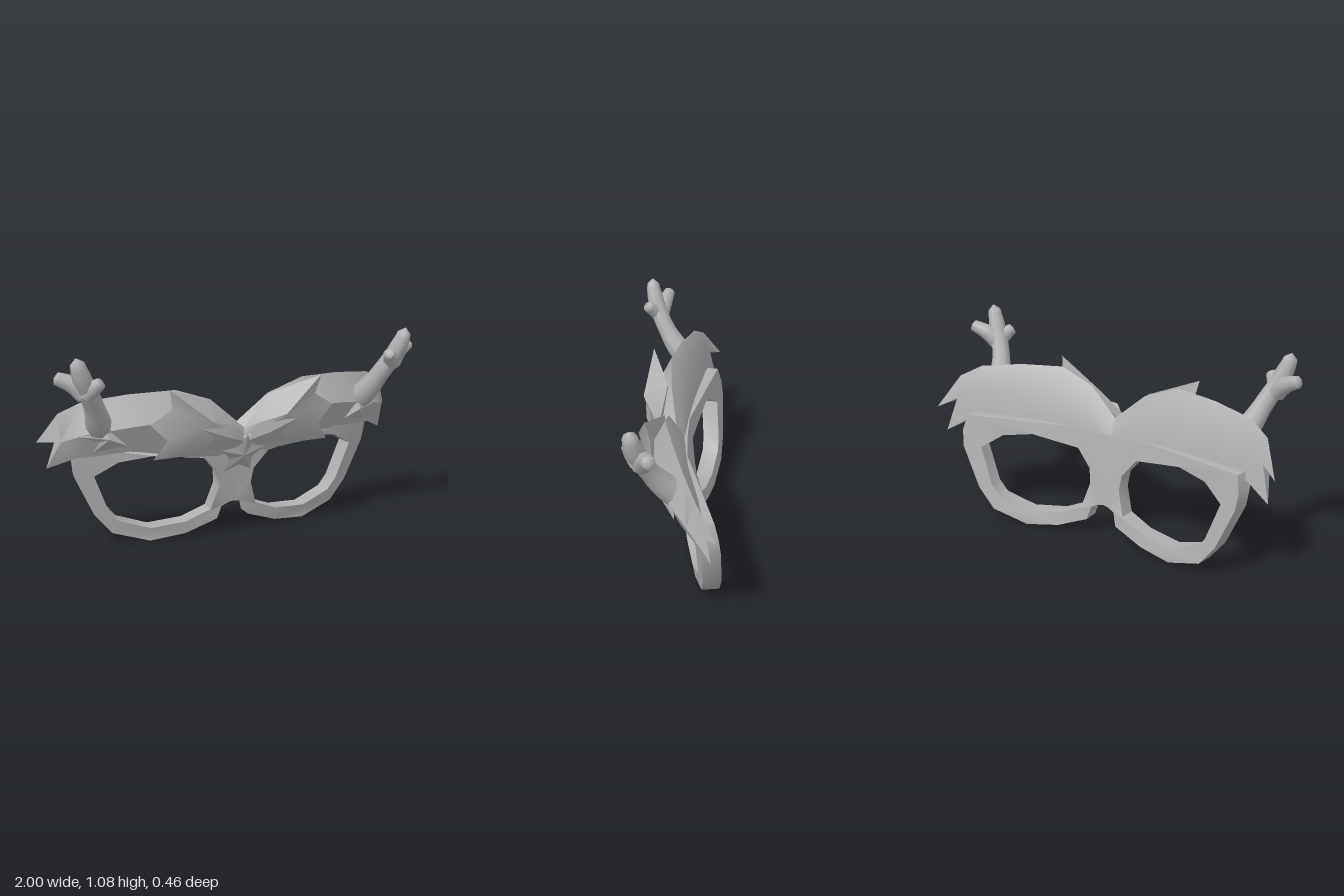
import * as THREE from 'three';
import { toCreasedNormals } from 'three/addons/utils/BufferGeometryUtils.js';

const grey = new THREE.MeshStandardMaterial({ color: 0xb0b0b0, side: THREE.DoubleSide });
grey.name = 'plain grey';

// Triangles (lists of three points) to a geometry
function fromTriangles(tris) {
  const g = new THREE.BufferGeometry();
  g.setAttribute('position', new THREE.Float32BufferAttribute(tris.flat(2), 3));
  return g;
}

// Closed shell: a counter-clockwise outline fanned to a front and a back centre
function shell(outline, front, back) {
  const tris = [];
  outline.forEach((a, i) => {
    const b = outline[(i + 1) % outline.length];
    tris.push([a, b, front], [b, a, back]);
  });
  return fromTriangles(tris);
}

// Mirror in x, keeping faces turned outward
function mirrored(geo) {
  const g = geo.clone().scale(-1, 1, 1);
  const p = g.attributes.position;
  for (let i = 0; i < p.count; i += 3) {
    const b = new THREE.Vector3().fromBufferAttribute(p, i + 1);
    p.setXYZ(i + 1, p.getX(i + 2), p.getY(i + 2), p.getZ(i + 2));
    p.setXYZ(i + 2, b.x, b.y, b.z);
  }
  return g;
}

// One half of the spectacle frame, curved back toward the temple and leaning forward
function frameHalf() {
  const v = (list) => list.map(([x, y]) => new THREE.Vector2(x, y));
  const shape = new THREE.Shape(v([
    [0, 0.185], [0.03, 0.18], [0.07, 0.16], [0.09, 0.09], [0.26, 0.025], [0.445, 0], [0.64, 0.06],
    [0.73, 0.17], [0.83, 0.39], [0.84, 0.48], [0.82, 0.56], [0.45, 0.565], [0.2, 0.56], [0, 0.55]]));
  shape.holes.push(new THREE.Path(v([
    [0.735, 0.39], [0.62, 0.465], [0.45, 0.49], [0.18, 0.455], [0.1, 0.36], [0.09, 0.28],
    [0.13, 0.15], [0.26, 0.095], [0.445, 0.075], [0.61, 0.13], [0.66, 0.19]])));
  const g = new THREE.ExtrudeGeometry(shape, { depth: 0.088, bevelEnabled: false });
  const p = g.attributes.position;
  for (let i = 0; i < p.count; i++) {
    const x = p.getX(i), z = p.getZ(i);
    p.setZ(i, z - 0.136 - 0.225 * x * x + 0.18 * p.getY(i));
    p.setX(i, x * (z > 0.04 ? 1 : 0.98));
  }
  return g.index ? g.toNonIndexed() : g;
}

// Brow: rings of top, front, bottom, lower back and upper back, ending in two spikes
function brow() {
  const rings = [
    [[0, 0.63, 0.02], [0, 0.56, 0.13], [0, 0.48, 0.06], [0, 0.5, -0.03], [0, 0.56, -0.02]],
    [[0.16, 0.77, 0.05], [0.16, 0.65, 0.15], [0.16, 0.475, 0.06], [0.16, 0.52, -0.04], [0.16, 0.67, -0.02]],
    [[0.35, 0.84, 0.06], [0.35, 0.7, 0.13], [0.35, 0.5, 0.04], [0.35, 0.54, -0.06], [0.35, 0.74, -0.03]],
    [[0.58, 0.83, 0.01], [0.58, 0.68, 0.08], [0.58, 0.535, 0.01], [0.58, 0.55, -0.09], [0.58, 0.72, -0.06]],
    [[0.8, 0.8, -0.05], [0.8, 0.65, 0.02], [0.76, 0.52, -0.03], [0.76, 0.53, -0.12], [0.8, 0.69, -0.11]],
    [[0.91, 0.74, -0.1], [0.91, 0.605, -0.06], [0.83, 0.51, -0.07], [0.83, 0.52, -0.14], [0.91, 0.62, -0.14]]];
  const tris = [];
  for (let r = 0; r < rings.length - 1; r++) {
    for (let i = 0; i < 5; i++) {
      const j = (i + 1) % 5, [a, b] = [rings[r], rings[r + 1]];
      tris.push([a[i], a[j], b[j]], [a[i], b[j], b[i]]);
    }
  }
  const [top, front, bottom, low, up] = rings[5];
  const spike = (base, tip) => base.forEach((p, i) => tris.push([p, base[(i + 1) % base.length], tip]));
  spike([top, front, up], [1, 0.575, -0.2]);
  spike([front, bottom, low, up], [0.96, 0.44, -0.175]);
  return fromTriangles(tris);
}

// Tapered tine: a tube whose rings shrink by the given radii, closed at both ends
function tine(points, radii) {
  const curve = new THREE.CatmullRomCurve3(points.map((p) => new THREE.Vector3(...p)));
  const n = 18, sides = 8;
  const g = new THREE.TubeGeometry(curve, n, 1, sides);
  const p = g.attributes.position, v = new THREE.Vector3();
  for (let i = 0; i < p.count; i++) {
    const ring = Math.floor(i / (sides + 1)), t = ring / n;
    const k = t * (radii.length - 1), a = Math.min(Math.floor(k), radii.length - 2);
    const radius = ring === n || ring === 0 ? 0 : THREE.MathUtils.lerp(radii[a], radii[a + 1], k - a);
    const c = curve.getPointAt(t);
    v.fromBufferAttribute(p, i).sub(c).multiplyScalar(radius).add(c);
    p.setXYZ(i, v.x, v.y, v.z);
  }
  return g.toNonIndexed();
}

// Five-pointed ornament leaning forward at the top
function star() {
  const outline = [];
  for (let i = 0; i < 10; i++) {
    const a = Math.PI / 2 + i * Math.PI / 5, r = i % 2 ? 0.065 : 0.128;
    const y = Math.sin(a) * r;
    outline.push([Math.cos(a) * r, 0.468 + y, 0.085 + 0.6 * y]);
  }
  return shell(outline, [0, 0.47, 0.115], [0, 0.47, 0.06]);
}

export function createModel() {
  const model = new THREE.Group();
  model.name = 'festiveGlasses';
  const add = (name, geo, crease) => {
    const plain = new THREE.BufferGeometry();
    plain.setAttribute('position', geo.attributes.position);
    const mesh = new THREE.Mesh(toCreasedNormals(plain, crease), grey);
    mesh.name = name;
    model.add(mesh);
  };
  const addPair = (name, geo, crease) => {
    add('left' + name, geo, crease);
    add('right' + name, mirrored(geo), crease);
  };

  addPair('Frame', frameHalf(), 0.6);
  addPair('Brow', brow(), 0.8);

  // Jagged tuft over the inner brow
  addPair('BrowTuft', shell([
    [0, 0.52, 0.11], [0.13, 0.475, 0.08], [0.35, 0.5, 0.09], [0.485, 0.5, 0.09], [0.42, 0.6, 0.125],
    [0.505, 0.69, 0.115], [0.395, 0.76, 0.13], [0.415, 0.865, 0.155], [0.17, 0.775, 0.07], [0, 0.62, 0.11]],
  [0.2, 0.69, 0.2], [0.22, 0.65, 0.06]), 0.8);

  // Pointed leaves beside the star
  addPair('Leaf', shell([
    [0, 0.55, 0.135], [0.08, 0.52, 0.12], [0.23, 0.53, 0.13], [0.19, 0.6, 0.175], [0.26, 0.66, 0.195],
    [0.07, 0.655, 0.16]], [0.12, 0.6, 0.18], [0.12, 0.59, 0.12]), 0.4);
  add('star', star(), 0.3);

  // Antlers with two side tines and a ragged tuft at the root
  addPair('Antler', tine([
    [0.725, 0.66, -0.02], [0.75, 0.725, 0.045], [0.795, 0.837, 0.117], [0.845, 0.94, 0.162],
    [0.875, 1.02, 0.182], [0.89, 1.077, 0.187]],
  [0.07, 0.062, 0.05, 0.048, 0.046, 0.03]), 1.2);
  addPair('OuterTine', tine([[0.83, 0.88, 0.145], [0.89, 0.935, 0.12], [0.972, 0.972, 0.095]], [0.05, 0.042, 0.03]), 1.2);
  addPair('InnerTine', tine([[0.835, 0.885, 0.15], [0.81, 0.92, 0.18], [0.775, 0.955, 0.212]], [0.045, 0.04, 0.028]), 1.2);
  addPair('AntlerTuft', shell([
    [0.61, 0.585, 0.06], [0.765, 0.55, 0], [0.74, 0.61, 0.03], [0.84, 0.64, 0], [0.72, 0.69, 0.04]],
  [0.7, 0.625, 0.065], [0.7, 0.62, 0]), 0.4);
  return model;
}
